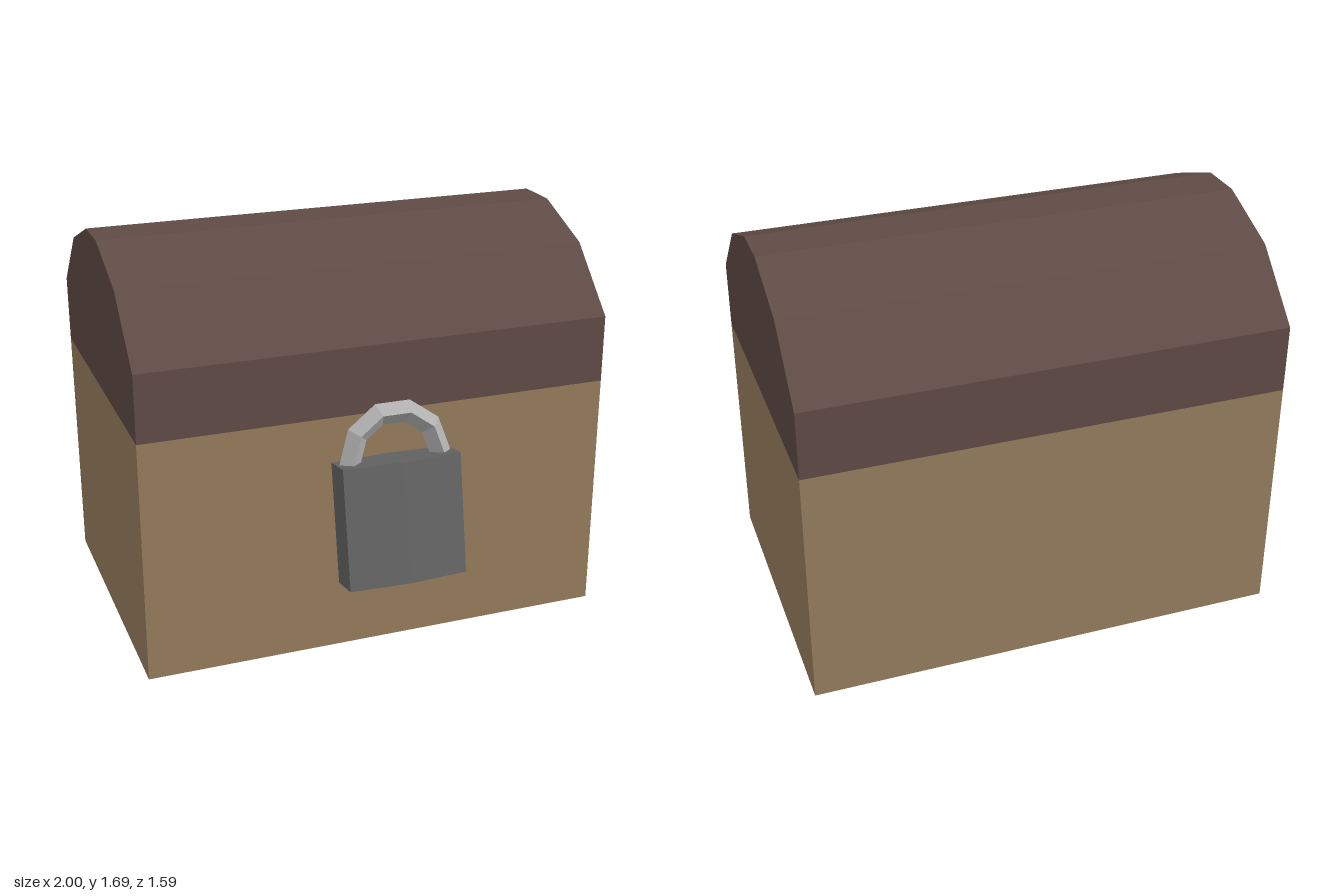
import * as THREE from 'three';

const material = (name, color) => {
  const m = new THREE.MeshStandardMaterial({ color });
  m.name = name;
  return m;
};

// Straight prism from a polygon, centred along its extrusion axis
function prism(points, depth) {
  const shape = new THREE.Shape(points.map(([x, y]) => new THREE.Vector2(x, y)));
  return new THREE.ExtrudeGeometry(shape, { depth, bevelEnabled: false }).translate(0, 0, -depth / 2);
}

export function createModel() {
  const wood = material('tan wood', 0x967d5e);
  const lidWood = material('dark brown wood', 0x604b45);
  const iron = material('dark iron', 0x646464);
  const steel = material('light steel', 0xb0b0b0);

  const model = new THREE.Group();
  model.name = 'chest';
  const add = (parent, name, geometry, mat) => {
    const mesh = new THREE.Mesh(geometry, mat);
    mesh.name = name;
    parent.add(mesh);
    return mesh;
  };

  const midZ = -0.14;
  const rimY = 1.035;

  // Chest box
  add(model, 'chestBox', new THREE.BoxGeometry(2, rimY, 1.314), wood)
    .position.set(0, rimY / 2, midZ);

  // Faceted barrel lid: half profile mirrored front to back
  const half = [[0.657, rimY], [0.657, 1.32], [0.403, 1.573], [0.098, 1.69]];
  const profile = [...half, ...half.map(([d, y]) => [-d, y]).reverse()];
  add(model, 'lid', prism(profile, 2).rotateY(Math.PI / 2), lidWood).position.z = midZ;

  // Padlock, leaning back against the chest
  const padlock = new THREE.Group();
  padlock.name = 'padlock';
  padlock.position.set(0.0275, 0.6225, 0.663);
  padlock.rotation.x = -0.18;
  model.add(padlock);

  // Body with slightly bowed front and back
  const w = 0.252, edge = 0.067, bow = 0.09;
  const section = [[-w, -edge], [0, -bow], [w, -edge], [w, edge], [0, bow], [-w, edge]];
  add(padlock, 'lockBody', prism(section, 0.503).rotateX(-Math.PI / 2), iron);

  // Square-section shackle in five straight runs
  const shackleGeometry = new THREE.TorusGeometry(0.194, 0.046, 4, 5, Math.PI).toNonIndexed();
  shackleGeometry.computeVertexNormals();
  add(padlock, 'shackle', shackleGeometry, steel).position.set(0, 0.25, -0.007);

  return model;
}
